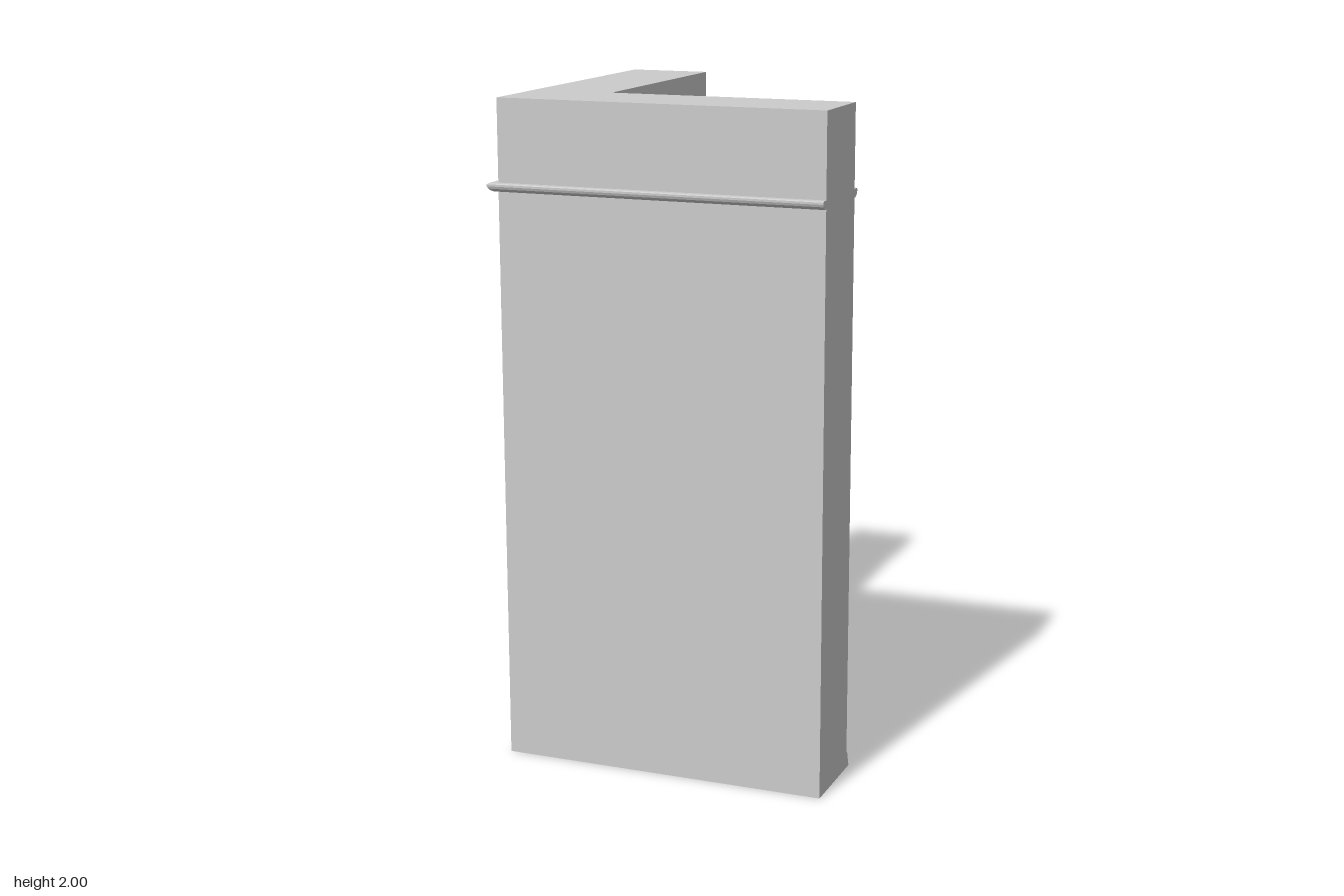
import * as THREE from 'three';

const OUTER = 0.488, INNER = 0.238, END = 0.512;
const material = new THREE.MeshStandardMaterial({ color: 0xcccccc, flatShading: true });

// Sweeps a moulding profile [depth, height] (bottom to top) round the mitred corner.
// side = 1 runs along the outside faces, side = -1 along the inside faces.
function moulding(name, profile, face, side) {
  const sections = [[], [], []];
  for (const [depth, y] of profile) {
    const r = face + side * depth;
    sections[0].push([END, y, r]);
    sections[1].push([-r, y, r]);
    sections[2].push([-r, y, -END]);
  }
  const positions = [];
  const tri = (a, b, c) => positions.push(...a, ...(side > 0 ? b : c), ...(side > 0 ? c : b));
  const n = profile.length;
  for (let i = 0; i < 2; i++) {
    for (let j = 0; j < n; j++) {
      const k = (j + 1) % n;
      const a = sections[i][j], b = sections[i][k];
      const c = sections[i + 1][k], d = sections[i + 1][j];
      tri(a, b, c);
      tri(a, c, d);
    }
  }
  // End caps
  for (let j = 1; j < n - 1; j++) {
    tri(sections[0][0], sections[0][j + 1], sections[0][j]);
    tri(sections[2][0], sections[2][j], sections[2][j + 1]);
  }
  const geometry = new THREE.BufferGeometry();
  geometry.setAttribute('position', new THREE.Float32BufferAttribute(positions, 3));
  geometry.computeVertexNormals();
  const mesh = new THREE.Mesh(geometry, material);
  mesh.name = name;
  return mesh;
}

export function createModel() {
  const group = new THREE.Group();
  group.name = 'wallCorner';

  // L-shaped wall, drawn in plan (shape y becomes -z) and extruded upwards
  const plan = new THREE.Shape([
    [-OUTER, -OUTER], [END, -OUTER], [END, -INNER],
    [-INNER, -INNER], [-INNER, END], [-OUTER, END],
  ].map(([x, y]) => new THREE.Vector2(x, y)));
  const wallGeometry = new THREE.ExtrudeGeometry(plan, { depth: 2, bevelEnabled: false });
  wallGeometry.rotateX(-Math.PI / 2);
  const wall = new THREE.Mesh(wallGeometry, material);
  wall.name = 'wall';
  group.add(wall);

  // Picture rails on both sides of the wall
  const rail = [
    [0, 1.73], [0.01, 1.73], [0.017, 1.734], [0.022, 1.739],
    [0.025, 1.746], [0.025, 1.752], [0.022, 1.755], [0, 1.755],
  ];
  group.add(moulding('outerRail', rail, OUTER, 1));
  group.add(moulding('innerRail', rail, INNER, -1));

  // Skirting board along the inside only
  const skirting = [
    [0, 0], [0.021, 0], [0.018, 0.012], [0.012, 0.03], [0.008, 0.045], [0, 0.052],
  ];
  group.add(moulding('skirting', skirting, INNER, -1));

  return group;
}
